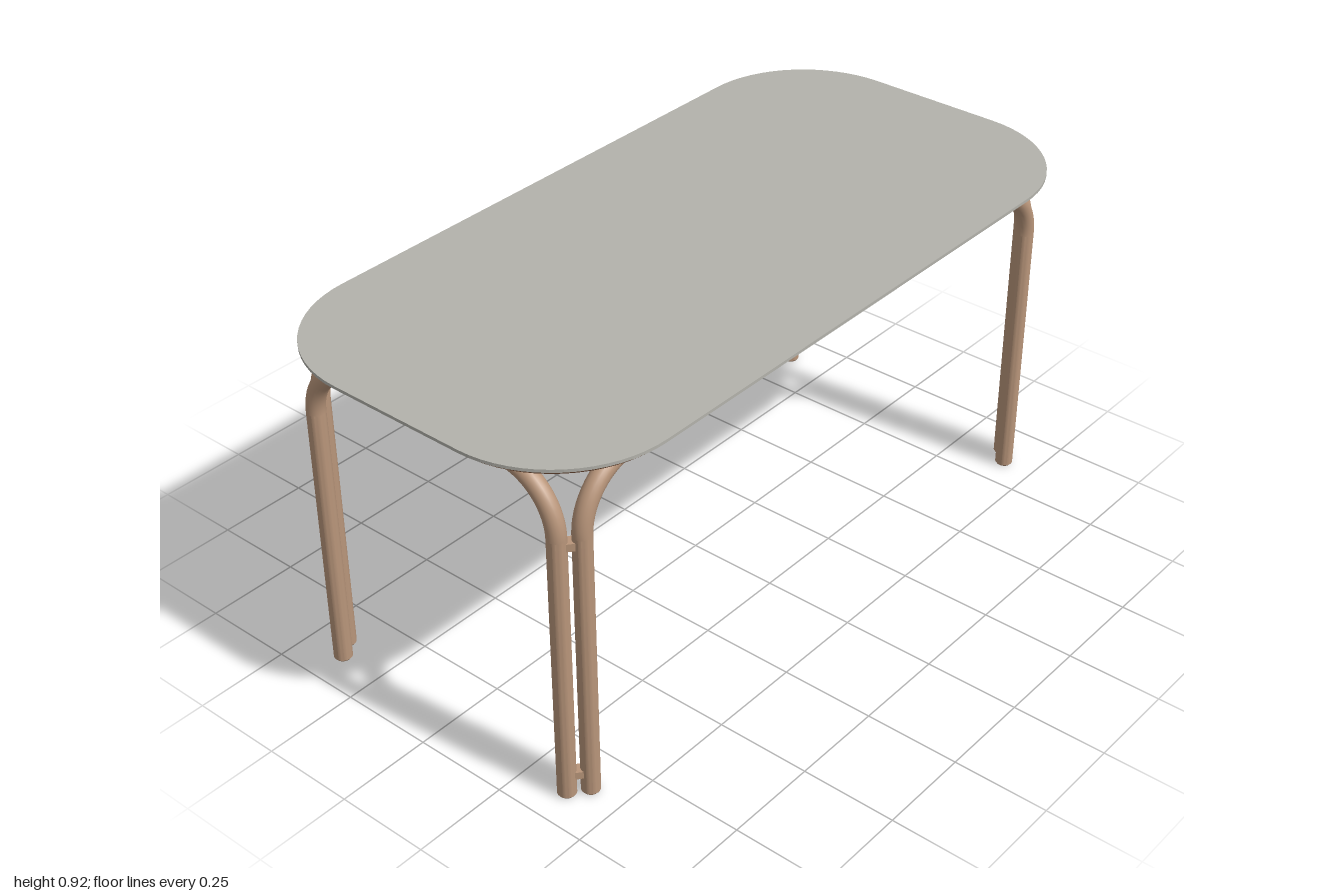
import * as THREE from 'three';
import { toCreasedNormals } from 'three/addons/utils/BufferGeometryUtils.js';

const mat = (name, color) => Object.assign(new THREE.MeshStandardMaterial({ color }), { name });

export function createModel() {
  const grey = mat('grey laminate', 0xb3b2ab);
  const wood = mat('wood', 0xb8957a);
  const edgeWood = mat('edge wood', 0x8f6347);
  const dark = mat('dark fittings', 0x2e241c);

  const model = new THREE.Group();
  model.name = 'table';
  const add = (parent, name, geo, material, x = 0, y = 0, z = 0) => {
    const m = new THREE.Mesh(geo, material);
    m.name = name;
    m.position.set(x, y, z);
    parent.add(m);
    return m;
  };

  // ---- table top: rounded rectangle, optionally inset ----
  const outline = (inset) => {
    const pts = [], R = 0.31, N = 16;
    for (let c = 0; c < 4; c++) {
      const sx = c === 0 || c === 3 ? 1 : -1, sz = c < 2 ? 1 : -1;
      for (let i = 0; i <= N; i++) {
        const a = (c + i / N) * Math.PI / 2;
        pts.push(new THREE.Vector2(sx * (1 - R) + (R - inset) * Math.cos(a),
          sz * (0.5 - R) + (R - inset) * Math.sin(a)));
      }
    }
    return pts;
  };
  const slab = (inset, depth) => new THREE.ExtrudeGeometry(new THREE.Shape(outline(inset)),
    { depth, bevelEnabled: false }).rotateX(Math.PI / 2);
  add(model, 'tabletop', slab(0, 0.008), grey, 0, 0.924);
  add(model, 'tabletopUnderside', slab(0.03, 0.012), grey, 0, 0.903);
  model.children[1].position.y = 0.915;

  // undercut wooden rim, lofted through three rings
  const rings = [[0, 0.916], [0.015, 0.903], [0.03, 0.903]];
  const pos = [], idx = [];
  rings.forEach(([inset, y]) => outline(inset).forEach((p) => pos.push(p.x, y, p.y)));
  const n = pos.length / 3 / rings.length;
  for (let r = 0; r < rings.length - 1; r++) {
    for (let i = 0; i < n; i++) {
      const j = (i + 1) % n, a = r * n, b = a + n;
      idx.push(a + i, a + j, b + i, a + j, b + j, b + i);
    }
  }
  const rim = new THREE.BufferGeometry();
  rim.setAttribute('position', new THREE.Float32BufferAttribute(pos, 3));
  rim.setIndex(idx);
  add(model, 'tabletopRim', toCreasedNormals(rim, 0.5), edgeWood);

  // ---- base, slightly off centre ----
  const base = new THREE.Group();
  base.name = 'base';
  base.position.x = -0.0085;
  model.add(base);

  const r = 0.0235, railY = 0.88, R = 0.15;
  // a bent-tube arch in its own xy plane, inner face towards -z
  const arch = (name, half, seam) => {
    const g = new THREE.Group();
    g.name = name;
    add(g, 'railMiddle', new THREE.CylinderGeometry(r, r, seam * 2, 20).rotateZ(Math.PI / 2), wood, 0, railY);
    const flat = half - R, legTop = railY - R;
    for (const s of [1, -1]) {
      const side = new THREE.Group();
      side.name = s > 0 ? 'archEndA' : 'archEndB';
      const len = flat - seam;
      add(side, 'railEnd', new THREE.CylinderGeometry(r - 0.0006, r - 0.0006, len, 20).rotateZ(Math.PI / 2),
        wood, s * (seam + len / 2), railY);
      const bend = add(side, 'bend', new THREE.TorusGeometry(R, r, 20, 14, Math.PI / 2), wood, s * flat, legTop);
      if (s < 0) bend.rotation.y = Math.PI;
      // leg with a softly rounded foot
      const profile = [[0, 0], [r - 0.004, 0], [r, 0.005], [r, legTop]].map((p) => new THREE.Vector2(...p));
      add(side, 'leg', toCreasedNormals(new THREE.LatheGeometry(profile, 20), 0.6), wood, s * half);
      // bolt heads on the inner side
      for (let i = 0; i < 3; i++) {
        add(side, 'bolt', new THREE.CylinderGeometry(0.006, 0.006, 0.006, 8).rotateX(Math.PI / 2),
          dark, s * (flat - 0.03 * i), railY, -r);
      }
      g.add(side);
    }
    base.add(g);
    return g;
  };
  const longX = 0.854, longZ = 0.41, shortX = 0.898, shortZ = 0.376;
  arch('frontArch', longX, 0.57).position.z = longZ;
  const back = arch('backArch', longX, 0.57);
  back.position.z = -longZ;
  back.rotation.y = Math.PI;
  const left = arch('leftArch', shortZ, 0.135);
  left.position.x = shortX;
  left.rotation.y = Math.PI / 2;
  const right = arch('rightArch', shortZ, 0.135);
  right.position.x = -shortX;
  right.rotation.y = -Math.PI / 2;

  // small spacers joining each pair of legs
  for (const sx of [1, -1]) for (const sz of [1, -1]) for (const y of [0.06, 0.71]) {
    const m = add(base, 'legSpacer', new THREE.BoxGeometry(0.03, 0.02, 0.03), wood,
      sx * (longX + shortX) / 2, y, sz * (longZ + shortZ) / 2);
    m.rotation.y = sx * sz * Math.atan2(longZ - shortZ, shortX - longX);
  }

  // ---- lattice of beams under the top ----
  const beamX = 0.31;
  add(base, 'longBeam', new THREE.BoxGeometry(shortX * 2, 0.037, 0.04), wood, 0, 0.8845);
  for (const s of [1, -1]) {
    add(base, 'crossBeam', new THREE.BoxGeometry(0.04, 0.042, longZ * 2), wood, s * beamX, 0.882);
  }

  // triangular gussets in the quadrants around each joint
  const tri = new THREE.Shape([[0, 0], [0.065, 0], [0, 0.065]].map((p) => new THREE.Vector2(...p)));
  const gusset = new THREE.ExtrudeGeometry(tri, { depth: 0.03, bevelEnabled: false }).rotateX(Math.PI / 2);
  const gussets = (x, z, quadrants) => quadrants.forEach((k) => {
    add(base, 'gusset', gusset, wood, x, 0.903, z).rotation.y = k * Math.PI / 2;
  });
  for (const s of [1, -1]) {
    gussets(s * beamX, 0, [0, 1, 2, 3]);
    gussets(s * beamX, longZ - 0.02, [1, 2]);
    gussets(s * beamX, 0.02 - longZ, [0, 3]);
    gussets(s * (shortX - 0.02), 0, s > 0 ? [2, 3] : [0, 1]);
  }
  return model;
}
